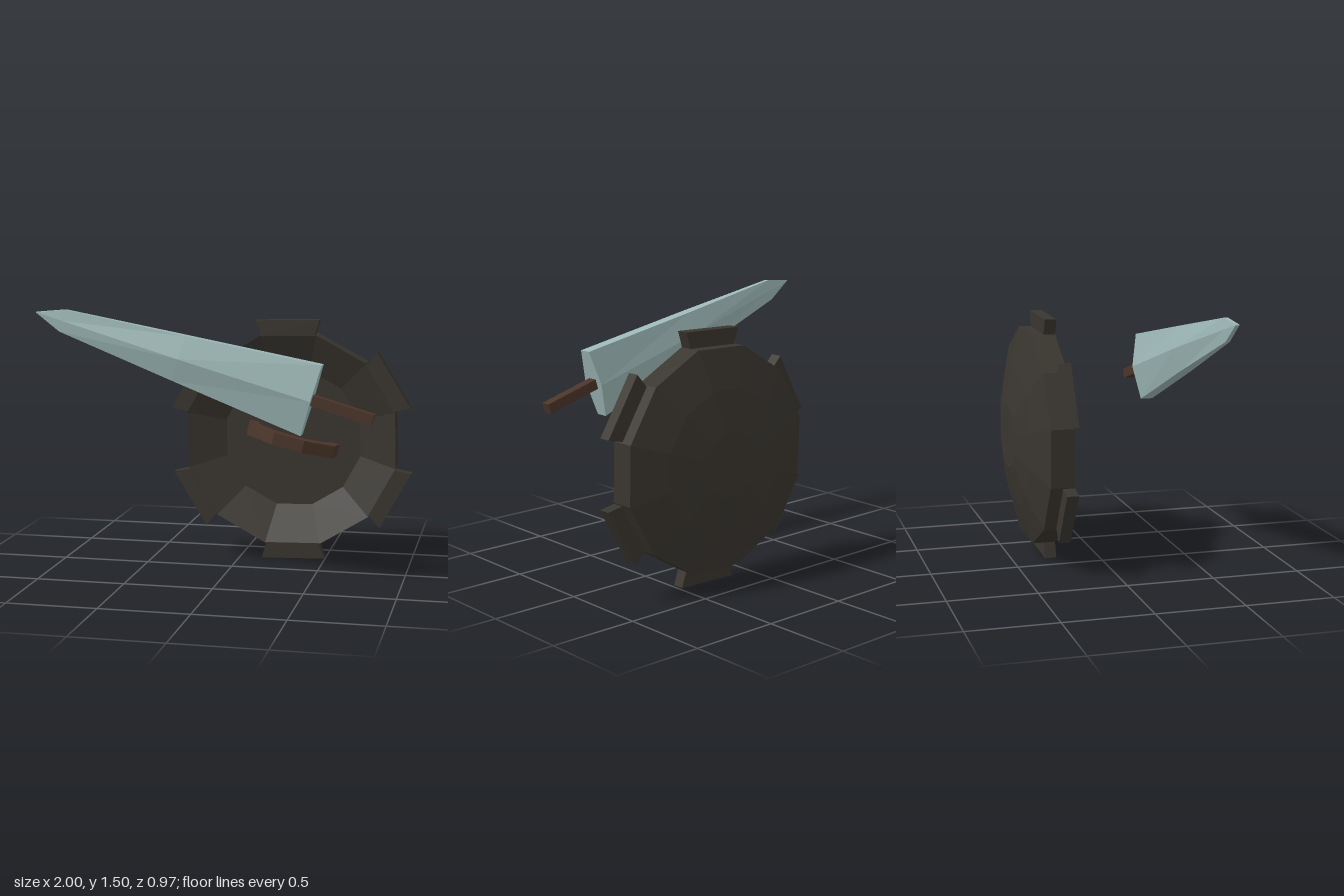
import * as THREE from 'three';

const material = (color) =>
  new THREE.MeshStandardMaterial({ color, flatShading: true, side: THREE.DoubleSide });

function addMesh(parent, name, geometry, mat) {
  const mesh = new THREE.Mesh(geometry, mat);
  mesh.name = name;
  parent.add(mesh);
  return mesh;
}

// Polygon in x/y pulled along z between two depths.
function prism(points, z0, z1) {
  const shape = new THREE.Shape(points.map(([x, y]) => new THREE.Vector2(x, y)));
  const geo = new THREE.ExtrudeGeometry(shape, { depth: z1 - z0, bevelEnabled: false });
  return geo.translate(0, 0, z0);
}

// Six-sided blade: flat upper and lower edges, a ridge on each side.
// Section: [along, half height, half ridge depth, half edge depth, z offset]
function bladeGeometry(sections) {
  const pos = [], index = [];
  for (const [x, h, ridge, edge, z] of sections) {
    pos.push(
      x, h, z + edge, x, 0, z + ridge, x, -h, z + edge,
      x, -h, z - edge, x, 0, z - ridge, x, h, z - edge);
  }
  for (let s = 0; s < sections.length - 1; s++) {
    for (let i = 0; i < 6; i++) {
      const a = s * 6 + i, b = s * 6 + (i + 1) % 6;
      index.push(a, b, a + 6, b, b + 6, a + 6);
    }
  }
  // Cap the wide end
  const e = (sections.length - 1) * 6;
  for (let i = 1; i < 5; i++) index.push(e, e + i, e + i + 1);
  const geo = new THREE.BufferGeometry();
  geo.setAttribute('position', new THREE.Float32BufferAttribute(pos, 3));
  geo.setIndex(index);
  const flat = geo.toNonIndexed();
  flat.computeVertexNormals();
  return flat;
}

export function createModel() {
  const model = new THREE.Group();
  model.name = 'swordAndShield';
  const iron = material(0x39352f);
  const steel = material(0x9db8b7);
  const wood = material(0x4b3529);

  // Shield, turned slightly about its own axis
  const shield = new THREE.Group();
  shield.name = 'shield';
  shield.position.set(0.295, 0.706, 0);
  model.add(shield);
  const turn = THREE.MathUtils.degToRad(1.6);

  // Solid twelve-sided dome bulging to the back, with a shallow dish in front
  const profile = [
    [0, 0.345], [0.41, 0.345], [0.632, 0.245],
    [0.632, 0.38], [0.41, 0.445], [0.185, 0.487], [0, 0.487],
  ].map(([r, d]) => new THREE.Vector2(r, d));
  const dome = new THREE.LatheGeometry(profile, 12, Math.PI / 12 - turn).rotateX(-Math.PI / 2);
  addMesh(shield, 'shieldDome', dome, iron);

  // Six flared blocks around the rim
  const block = prism([[-0.155, 0.608], [0.155, 0.608], [0.185, 0.7], [-0.185, 0.7]], -0.31, -0.243);
  for (let i = 0; i < 6; i++) {
    addMesh(shield, 'rimBlock', block, iron).rotation.z = turn + i * Math.PI / 3;
  }

  // Arched handle: side outline (along, depth), its feet resting in the dish
  const arch = [[0.275, -0.347], [0.257, -0.25], [0.09, -0.165]];
  const under = [[0.085, -0.235], [0.205, -0.295], [0.215, -0.347]];
  const mirror = (pts) => pts.map(([x, y]) => [-x, y]).reverse();
  const outline = [...arch, ...mirror(arch), ...mirror(under), ...under];
  const handle = prism(outline, -0.036, 0.036).rotateX(Math.PI / 2);
  addMesh(shield, 'shieldHandle', handle, wood).rotation.z = THREE.MathUtils.degToRad(-13.8);

  // Sword, pointing to the right and upwards
  const sword = new THREE.Group();
  sword.name = 'sword';
  sword.position.set(0.525, 1.04, 0.41);
  sword.rotation.z = THREE.MathUtils.degToRad(-16.2);
  model.add(sword);

  addMesh(sword, 'blade', bladeGeometry([
    [-1.588, 0.002, 0.011, 0.01, 0.012],
    [-1.432, 0.063, 0.02, 0.012, 0.011],
    [-0.75, 0.127, 0.066, 0.033, 0.006],
    [0, 0.198, 0.074, 0.036, 0],
  ]), steel);

  const grip = new THREE.BoxGeometry(0.35, 0.057, 0.058).translate(0.165, 0, -0.002);
  addMesh(sword, 'grip', grip, wood);

  return model;
}
